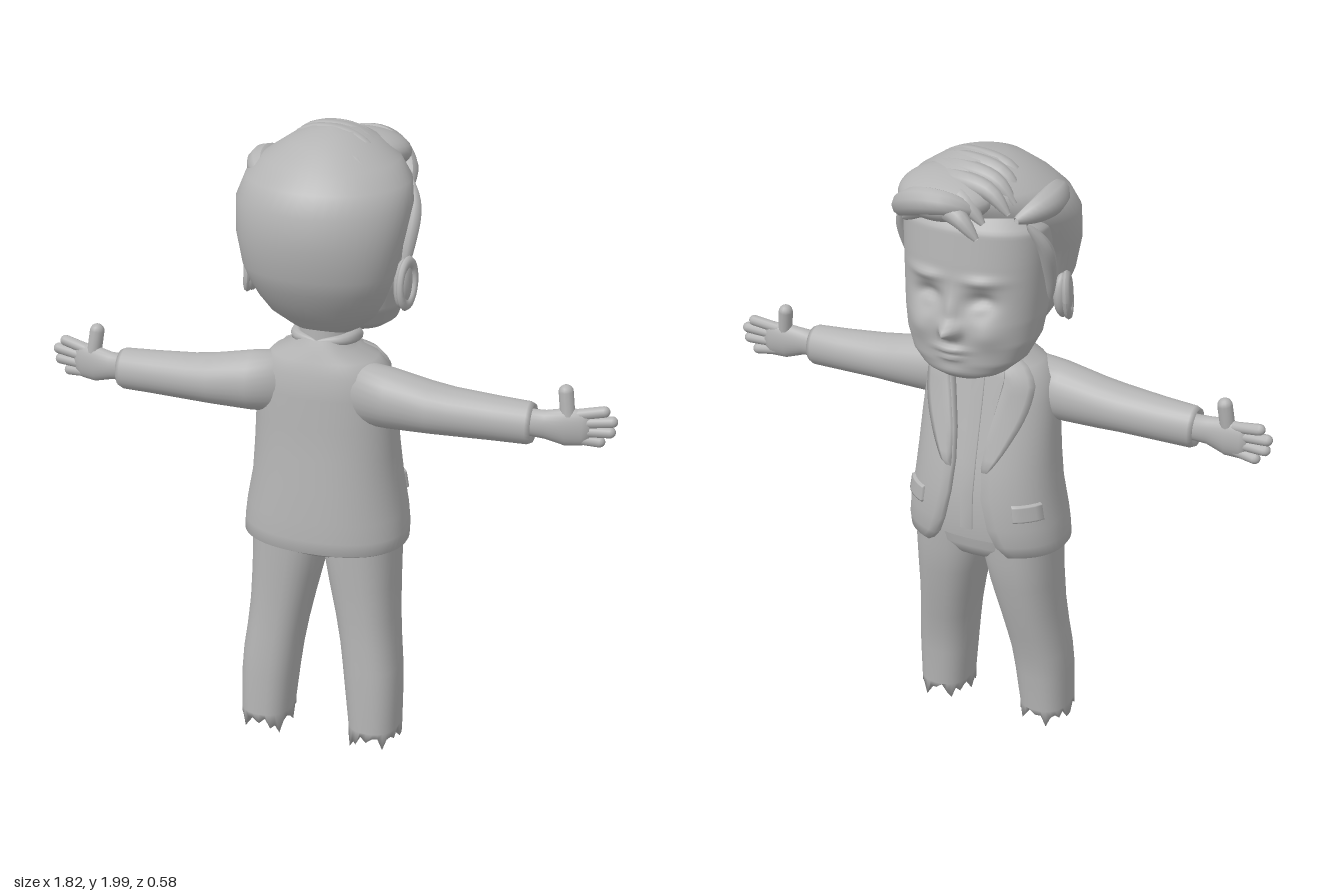
import * as THREE from 'three';

const TAU = Math.PI * 2;
const V = (x, y, z) => new THREE.Vector3(x, y, z);
const lerp = THREE.MathUtils.lerp;
const pow = (v, e) => Math.sign(v) * Math.pow(Math.abs(v), e);

// surface through rows of points
function skin(rows, closed = true) {
  const n = rows[0].length, index = [], cols = closed ? n : n - 1;
  for (let j = 0; j < rows.length - 1; j++) {
    for (let i = 0; i < cols; i++) {
      const a = j * n + i, b = j * n + (i + 1) % n;
      index.push(a, a + n, b, b, a + n, b + n);
    }
  }
  const g = new THREE.BufferGeometry().setFromPoints(rows.flat());
  g.setIndex(index);
  g.computeVertexNormals();
  return g;
}

function mirrored(geo) {
  const g = geo.clone(), ix = g.index.array, p = g.attributes.position;
  for (let i = 0; i < p.count; i++) p.setX(i, -p.getX(i));
  for (let i = 0; i < ix.length; i += 3) [ix[i], ix[i + 1]] = [ix[i + 1], ix[i]];
  g.computeVertexNormals();
  return g;
}

// interpolate a level table on its first column
function at(levels, y) {
  let k = 0;
  while (k < levels.length - 2 && y > levels[k + 1][0]) k++;
  const a = levels[k], b = levels[k + 1];
  const t = THREE.MathUtils.clamp((y - a[0]) / (b[0] - a[0]), 0, 1);
  return a.map((v, i) => lerp(v, b[i], t));
}

// point on a level [y, halfWidth, zFront, zBack], grown by o
function point([y, hw, zf, zb], t, o = 0, n = 2, xc = 0) {
  const e = 2 / n;
  return V(xc + (hw + o) * pow(Math.sin(t), e), y, (zf + zb) / 2 - ((zb - zf) / 2 + o) * pow(Math.cos(t), e));
}
const ring = (level, seg, o = 0, n = 2, xc = 0) =>
  Array.from({ length: seg }, (_, i) => point(level, i / seg * TAU, o, n, xc));
const tip = (seg, x, y, z) => Array.from({ length: seg }, () => V(x, y, z));

// loft along x from [x, y0, y1, z0, z1], both ends closed
function sideLoft(levels, seg = 28) {
  const rows = levels.map(([x, y0, y1, z0, z1]) => Array.from({ length: seg }, (_, i) => {
    const t = i / seg * TAU;
    return V(x, (y0 + y1) / 2 - (y1 - y0) / 2 * Math.sin(t), (z0 + z1) / 2 - (z1 - z0) / 2 * Math.cos(t));
  }));
  const cap = l => tip(seg, l[0], (l[1] + l[2]) / 2, (l[3] + l[4]) / 2);
  return skin([cap(levels[0]), ...rows, cap(levels[levels.length - 1])]);
}

// tapered lock along a curve
function lock(points, r) {
  const c = new THREE.CatmullRomCurve3(points), n = 18, m = 10;
  const g = new THREE.TubeGeometry(c, n, r, m), p = g.attributes.position, v = V(0, 0, 0);
  for (let i = 0; i < p.count; i++) {
    const u = Math.floor(i / (m + 1)) / n, mid = c.getPointAt(u);
    v.fromBufferAttribute(p, i).sub(mid).multiplyScalar(Math.pow(Math.sin(Math.PI * lerp(0.03, 0.99, u)), 0.6)).add(mid);
    p.setXYZ(i, v.x, v.y, v.z);
  }
  g.computeVertexNormals();
  return g;
}

function finger(p, q, r) {
  const d = q.clone().sub(p), g = new THREE.CapsuleGeometry(r, d.length() - r, 5, 12);
  g.applyQuaternion(new THREE.Quaternion().setFromUnitVectors(V(0, 1, 0), d.clone().normalize()));
  const m = p.clone().add(q).multiplyScalar(0.5);
  return g.translate(m.x, m.y, m.z);
}

// jacket: y, halfWidth, zFront, zBack, half angle of the front opening
const COAT = [
  [0.69, 0.245, -0.115, 0.215, 0.7], [0.70, 0.262, -0.14, 0.232, 0.5], [0.74, 0.262, -0.15, 0.23, 0.36],
  [0.8, 0.255, -0.155, 0.228, 0.27], [0.9, 0.237, -0.15, 0.218, 0.2], [1.0, 0.228, -0.13, 0.21, 0.18],
  [1.1, 0.222, -0.105, 0.2, 0.22], [1.2, 0.215, -0.08, 0.2, 0.32], [1.27, 0.203, -0.065, 0.19, 0.42],
  [1.31, 0.165, -0.055, 0.175, 0.5], [1.34, 0.105, -0.035, 0.165, 0.6], [1.375, 0.085, -0.02, 0.15, 0.8]];
const FACE = [
  [1.33, 0.07, -0.19, -0.1], [1.35, 0.13, -0.212, -0.03], [1.39, 0.178, -0.222, 0.05], [1.45, 0.205, -0.225, 0.1],
  [1.52, 0.215, -0.225, 0.12], [1.6, 0.22, -0.217, 0.12], [1.7, 0.225, -0.21, 0.12], [1.8, 0.23, -0.2, 0.12], [1.88, 0.18, -0.15, 0.1]];
const CRANIUM = [
  [1.37, 0.06, 0, 0.09], [1.4, 0.11, -0.02, 0.13], [1.45, 0.165, -0.02, 0.185], [1.5, 0.195, -0.02, 0.22],
  [1.55, 0.217, -0.025, 0.25], [1.6, 0.235, -0.03, 0.27], [1.7, 0.256, -0.07, 0.29], [1.8, 0.267, -0.15, 0.284],
  [1.86, 0.25, -0.19, 0.25], [1.91, 0.205, -0.2, 0.2], [1.96, 0.13, -0.16, 0.13], [1.985, 0.07, -0.1, 0.06]];
// face relief: x, y, width, height, amount forward
const RELIEF = [
  [0, 1.5, 0.028, 0.024, 0.06], [0, 1.56, 0.02, 0.05, 0.02], [0.085, 1.585, 0.042, 0.032, -0.035],
  [0.085, 1.572, 0.026, 0.018, 0.016], [0.09, 1.655, 0.055, 0.016, 0.014], [0, 1.435, 0.045, 0.01, 0.02],
  [0, 1.408, 0.035, 0.009, 0.014], [0.11, 1.49, 0.045, 0.04, 0.014], [0, 1.36, 0.05, 0.02, 0.008]];

// raised panel following the jacket
function panel(y0, y1, from, width, lift) {
  const rows = [];
  for (let j = 0; j <= 14; j++) {
    const y = lerp(y0, y1, j / 14), l = at(COAT, y), a = from(l), w = width(j / 14);
    rows.push([0, 0, 0.25, 0.5, 0.75, 1, 1].map((u, i) =>
      point(l, a + w * u, i === 0 || i === 6 || j === 0 || j === 14 ? -0.004 : lift, 2.3)));
  }
  return skin(rows, false);
}

export function createModel() {
  const grey = new THREE.MeshStandardMaterial({ color: 0xb4b4b4, side: THREE.DoubleSide });
  grey.name = 'plain grey';
  const model = new THREE.Group();
  const add = (name, geo) => {
    const m = new THREE.Mesh(geo, grey);
    m.name = name;
    model.add(m);
    return m;
  };
  const pair = (name, geo) => { add(name + 'A', geo); add(name + 'B', mirrored(geo)); };

  // jacket shell with rounded hem and open front
  add('jacket', skin(COAT.map((l, j) => {
    const t = Array.from({ length: 49 }, (_, i) => lerp(l[4], TAU - l[4], i / 48));
    const inset = j === 0 || j === COAT.length - 1 ? 0 : -0.022;
    return [...t.map(a => point(l, a, 0, 2.3)), ...t.reverse().map(a => point(l, a, inset, 2.3))];
  })));
  pair('lapel', panel(0.98, 1.34, l => l[4], u => 0.06 + 0.5 * Math.sin(Math.PI * Math.min(u, 0.8) * 0.62), 0.012));
  pair('pocketFlap', panel(0.83, 0.89, () => 0.62, () => 0.5, 0.009));

  // shirt with placket, collar and neck
  add('shirt', skin([...COAT.slice(2).map(l => ring(l, 40, -0.026, 2.3)), tip(40, 0, 1.375, 0.06)]));
  add('placket', skin([0.78, 0.9, 1.0, 1.1, 1.2, 1.3].map(y =>
    [-0.02, -0.02, 0.02, 0.02].map((x, i) => V(x, y, at(COAT, y)[2] + (i % 3 ? 0.018 : 0.03)))), false));
  pair('shirtCollar', lock([V(0.012, 1.285, -0.055), V(0.05, 1.33, -0.04), V(0.085, 1.36, 0.02), V(0.07, 1.37, 0.11), V(0, 1.37, 0.145)], 0.022));
  add('neck', new THREE.CylinderGeometry(0.085, 0.09, 0.16, 28).translate(0, 1.36, 0.045));

  // trousers
  add('hips', skin([tip(32, 0, 0.635, 0.04), ring([0.66, 0.17, -0.085, 0.165], 32), ring([0.7, 0.225, -0.105, 0.18], 32, 0, 2.4),
    ring([0.82, 0.225, -0.12, 0.18], 32, 0, 2.4)]));
  const LEG = [[0.07, 0.1, 0.265, 0, 0.2], [0.2, 0.085, 0.265, -0.01, 0.195], [0.28, 0.075, 0.26, -0.02, 0.19],
    [0.36, 0.063, 0.25, -0.04, 0.185], [0.45, 0.045, 0.242, -0.06, 0.18], [0.56, 0.02, 0.238, -0.085, 0.18],
    [0.66, 0, 0.237, -0.1, 0.18], [0.78, 0, 0.23, -0.105, 0.18]];
  const legRows = LEG.map(([y, x0, x1, zf, zb]) => ring([y, (x1 - x0) / 2, zf, zb], 32, 0, 2.4, (x0 + x1) / 2));
  const torn = legRows[0].map((p, i) => V(p.x, 0.042 + 0.018 * Math.sin(i * 2.3) + 0.012 * Math.sin(i * 5.1 + 1), p.z));
  torn[20].y = 0;
  pair('trouserLeg', skin([tip(32, 0.18, 0.08, 0.1), torn, ...legRows]));

  // sleeves and hands
  pair('sleeve', sideLoft([[0.12, 1.11, 1.312, 0.03, 0.18], [0.22, 1.108, 1.297, 0.02, 0.19], [0.35, 1.11, 1.27, 0.025, 0.185],
    [0.42, 1.112, 1.26, 0.03, 0.18], [0.55, 1.113, 1.25, 0.035, 0.165], [0.65, 1.113, 1.245, 0.04, 0.155],
    [0.665, 1.12, 1.238, 0.046, 0.149], [0.655, 1.132, 1.228, 0.056, 0.138]]));
  pair('palm', sideLoft([[0.64, 1.14, 1.222, 0.06, 0.13], [0.7, 1.135, 1.225, 0.065, 0.125], [0.76, 1.117, 1.236, 0.055, 0.115],
    [0.81, 1.12, 1.235, 0.053, 0.1], [0.83, 1.14, 1.215, 0.06, 0.09]]));
  [[1.215, 1.234, 0.885], [1.19, 1.204, 0.91], [1.165, 1.169, 0.905], [1.142, 1.134, 0.875]].forEach(([y0, y1, x], i) =>
    pair('finger' + (i + 1), finger(V(0.78, y0, 0.08), V(x - 0.008, y1, 0.066), 0.0175)));
  pair('thumb', finger(V(0.765, 1.2, 0.085), V(0.752, 1.295, 0.075), 0.023));

  // face with sculpted features
  const faceRows = [tip(96, 0, 1.325, -0.15)];
  for (let j = 0; j <= 64; j++) {
    const y = lerp(1.33, 1.88, j / 64);
    faceRows.push(ring(at(FACE, y), 96, 0, 2.3).map(p => {
      if (p.z < -0.04) {
        let d = 0;
        for (const [x, cy, w, h, k] of RELIEF) d += k * Math.exp(-(((Math.abs(p.x) - x) / w) ** 2) - ((y - cy) / h) ** 2);
        p.z -= d;
      }
      return p;
    }));
  }
  add('face', skin(faceRows));
  pair('ear', new THREE.SphereGeometry(1, 20, 14).scale(0.026, 0.075, 0.045).rotateX(-0.2).translate(0.238, 1.55, 0.045));
  pair('earRim', new THREE.TorusGeometry(0.04, 0.012, 8, 24).scale(0.95, 1.6, 1).rotateY(Math.PI / 2 - 0.3).rotateX(-0.2).translate(0.252, 1.552, 0.047));

  // hair cap, swept quiff and locks
  add('hairCap', skin([tip(48, 0, 1.362, 0.05), ...CRANIUM.map(l => ring(l, 48)), tip(48, 0, 1.994, -0.02)]));
  add('quiff', new THREE.SphereGeometry(1, 32, 20).scale(0.155, 0.068, 0.14).rotateX(-0.15).translate(0.045, 1.895, -0.135));
  for (let k = 0; k < 8; k++) {
    const z = lerp(-0.235, 0.06, k / 7), top = 1.995 - 2.2 * Math.max(0, -z - 0.04) ** 2 - (k > 5 ? 0.012 * (k - 5) : 0);
    const s = k < 2 ? 0.06 : 0;
    add('hairLock' + (k + 1), lock([V(-0.16 + s, top - 0.1, z - 0.02), V(-0.1 + s, top - 0.045, z - 0.015), V(0, top - 0.034, z),
      V(0.1, top - 0.053, z + 0.035), V(0.19, top - 0.12, z + 0.08)], 0.035));
  }
  add('fringe', lock([V(-0.08, 1.87, -0.2), V(-0.01, 1.9, -0.245), V(0.08, 1.895, -0.245), V(0.17, 1.85, -0.19), V(0.21, 1.79, -0.11)], 0.042));
  add('sideLock', lock([V(-0.17, 1.84, -0.14), V(-0.215, 1.865, -0.06), V(-0.215, 1.87, 0.03), V(-0.18, 1.86, 0.13)], 0.045));
  pair('sideburn', lock([V(0.222, 1.56, -0.01), V(0.228, 1.65, -0.035), V(0.23, 1.75, -0.08), V(0.2, 1.83, -0.13)], 0.026));

  return model;
}
